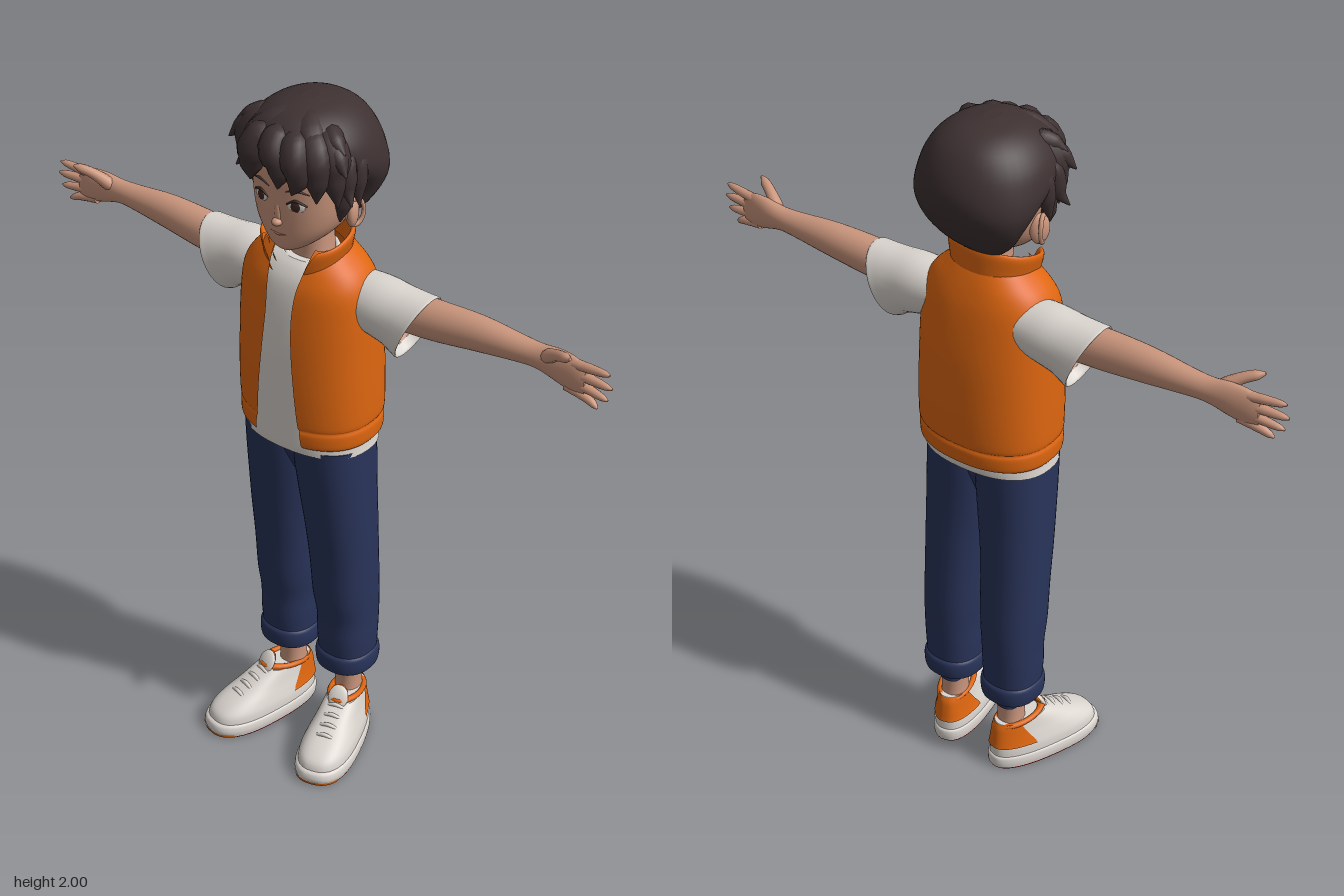
import * as THREE from 'three';

const V = (x, y, z) => new THREE.Vector3(x, y, z);
const mat = (name, color, side = THREE.FrontSide) => {
  const m = new THREE.MeshStandardMaterial({ color, side });
  m.name = name;
  return m;
};
const pow = (v, p) => Math.sign(v) * Math.abs(v) ** p;

// Smoothly fills in rows of numbers (Catmull-Rom)
function smooth(rows, steps) {
  const out = [], at = i => rows[Math.min(Math.max(i, 0), rows.length - 1)];
  for (let i = 0; i < rows.length - 1; i++) for (let s = 0; s < steps; s++) {
    const t = s / steps;
    out.push(at(i).map((b, k) => {
      const a = at(i - 1)[k], c = at(i + 1)[k], d = at(i + 2)[k];
      return 0.5 * (2 * b + (c - a) * t + (2 * a - 5 * b + 4 * c - d) * t * t + (3 * b - a - 3 * c + d) * t ** 3);
    }));
  }
  out.push(rows[rows.length - 1]);
  return out;
}

// Skins a list of point rings
function loft(rings, closed = true, caps = closed) {
  const pos = [], idx = [], n = rings[0].length, m = closed ? n : n - 1;
  rings.forEach(r => r.forEach(p => pos.push(p.x, p.y, p.z)));
  for (let i = 0; i < rings.length - 1; i++) for (let j = 0; j < m; j++) {
    const a = i * n + j, b = i * n + (j + 1) % n;
    idx.push(a, b, b + n, a, b + n, a + n);
  }
  if (caps) [rings[0], rings[rings.length - 1]].forEach((r, e) => {
    const base = pos.length / 3, c = V(0, 0, 0);
    r.forEach(p => { pos.push(p.x, p.y, p.z); c.addScaledVector(p, 1 / n); });
    pos.push(c.x, c.y, c.z);
    for (let j = 0; j < n; j++) {
      const k = (j + 1) % n;
      idx.push(base + n, base + (e ? j : k), base + (e ? k : j));
    }
  });
  const g = new THREE.BufferGeometry();
  g.setAttribute('position', new THREE.Float32BufferAttribute(pos, 3));
  g.setIndex(idx);
  g.computeVertexNormals();
  return g;
}

// Upright loft from rows [y, half width, front z, back z, half front gap, centre x]
function upright(rows, { n = 40, p = 0.85, tilt = 0, arc, toe = 0, caps = true } = {}) {
  const closed = !(arc || rows[0][4]);
  return loft(smooth(rows, 4).map(([y, rx, zf, zb, gap = 0, cx = 0]) => {
    const g = gap ? Math.asin((gap / rx) ** (1 / p)) : 0;
    const [a0, a1] = arc || [g, 2 * Math.PI - g];
    return Array.from({ length: closed ? n : n + 1 }, (_, j) => {
      const a = a0 + (a1 - a0) * j / n, c = pow(Math.cos(a), p);
      return V(cx + rx * (1 + toe * c) * pow(Math.sin(a), p), y - tilt * c, (zf + zb) / 2 + c * (zf - zb) / 2);
    });
  }), closed, caps && closed);
}

// Sideways loft from rows [x, y, z, half height, half depth, slant]
const sideways = (rows, caps) => loft(smooth(rows, 4).map(([x, y, z, ry, rz, slant = 0]) =>
  Array.from({ length: 28 }, (_, j) => {
    const a = j / 28 * 2 * Math.PI;
    return V(x + slant * Math.cos(a), y + ry * Math.cos(a), z + rz * Math.sin(a));
  })), true, caps);

// Round strand along a curve, with changing radius
function strand(points, radii, steps = 14, n = 10) {
  const curve = new THREE.CatmullRomCurve3(points.map(p => V(...p)));
  const f = curve.computeFrenetFrames(steps);
  return loft(Array.from({ length: steps + 1 }, (_, i) => {
    const u = i / steps * (radii.length - 1), k = Math.min(Math.floor(u), radii.length - 2);
    const r = THREE.MathUtils.lerp(radii[k], radii[k + 1], u - k), c = curve.getPointAt(i / steps);
    return Array.from({ length: n }, (_, j) => {
      const a = j / n * 2 * Math.PI;
      return c.clone().addScaledVector(f.normals[i], r * Math.cos(a)).addScaledVector(f.binormals[i], r * Math.sin(a));
    });
  }));
}
const blob = (sx, sy, sz, x, y, z, ry = 0) => new THREE.SphereGeometry(1, 20, 14).scale(sx, sy, sz).rotateY(ry).translate(x, y, z);

function mirrored(geo) {
  const g = geo.clone().scale(-1, 1, 1), ix = g.index.array;
  for (let i = 0; i < ix.length; i += 3) [ix[i], ix[i + 1]] = [ix[i + 1], ix[i]];
  return g;
}

export function createModel() {
  const model = new THREE.Group();
  const skin = mat('skin', 0xcb967d, THREE.DoubleSide), hairMat = mat('hair', 0x3e3132), orange = mat('orange', 0xde6610, THREE.DoubleSide);
  const white = mat('cloth white', 0xdcd6d0, THREE.DoubleSide), navy = mat('navy', 0x29345a, THREE.DoubleSide);
  const red = mat('sole red', 0xa80000), dark = mat('eye brown', 0x3a2620), lip = mat('lip', 0xa5655a);
  const add = (name, geo, m) => {
    const mesh = new THREE.Mesh(geo, m);
    mesh.name = name;
    model.add(mesh);
  };
  const pair = (name, geo, m) => { add(name + 'Left', geo, m); add(name + 'Right', mirrored(geo), m); };

  // Head, neck and face
  add('head', upright([[1.613, 0.025, 0.088, 0.03], [1.628, 0.055, 0.1, -0.02], [1.66, 0.093, 0.105, -0.07], [1.7, 0.12, 0.108, -0.11],
    [1.76, 0.135, 0.11, -0.14], [1.84, 0.135, 0.107, -0.15], [1.9, 0.1, 0.08, -0.13]]), skin);
  add('neck', upright([[1.5, 0.07, 0.03, -0.1], [1.57, 0.055, 0.015, -0.09], [1.7, 0.055, 0.03, -0.09]]), skin);
  add('noseBridge', blob(0.01, 0.03, 0.006, 0, 1.722, 0.107), skin);
  add('noseTip', blob(0.014, 0.011, 0.015, 0, 1.701, 0.11), skin);
  add('mouth', strand([[-0.028, 1.669, 0.103], [0, 1.664, 0.1055], [0.028, 1.669, 0.103]], [0.001, 0.003, 0.001]), lip);
  pair('eyeWhite', blob(0.024, 0.015, 0.004, 0.055, 1.757, 0.102, 0.28), white);
  pair('iris', blob(0.014, 0.014, 0.004, 0.054, 1.757, 0.104, 0.28), dark);
  pair('upperLid', strand([[0.029, 1.759, 0.108], [0.053, 1.773, 0.105], [0.082, 1.762, 0.093]], [0.002, 0.004, 0.002]), dark);
  pair('eyebrow', strand([[0.026, 1.792, 0.108], [0.055, 1.802, 0.104], [0.088, 1.793, 0.09]], [0.002, 0.004, 0.001]), hairMat);
  pair('ear', blob(0.016, 0.043, 0.028, 0.138, 1.722, -0.018, 0.45), skin);
  pair('earRim', new THREE.TorusGeometry(0.028, 0.006, 8, 20).scale(0.85, 1.3, 1).rotateY(1.15).translate(0.147, 1.724, -0.018), skin);

  // Hair cap, open over the forehead, and locks
  add('hairCap', upright([[1.645, 0.06, -0.06, -0.1], [1.69, 0.108, -0.04, -0.15], [1.74, 0.142, -0.03, -0.188], [1.785, 0.165, 0, -0.207],
    [1.82, 0.175, 0.05, -0.215], [1.86, 0.176, 0.115, -0.214], [1.91, 0.162, 0.135, -0.198], [1.955, 0.128, 0.108, -0.168],
    [1.985, 0.08, 0.06, -0.12], [1.998, 0.02, 0, -0.055]], { p: 0.95 }), hairMat);
  const locks = [
    [[-0.03, 1.95, 0.06], [-0.066, 1.9, 0.107], [-0.08, 1.85, 0.107], [-0.094, 1.785, 0.098]],
    [[0.0, 1.95, 0.06], [0, 1.91, 0.118], [0.02, 1.87, 0.121], [0.01, 1.8, 0.12]],
    [[0.03, 1.95, 0.06], [0.06, 1.9, 0.112], [0.07, 1.85, 0.113], [0.05, 1.793, 0.115]],
    [[0.04, 1.95, 0.04], [0.1, 1.9, 0.08], [0.107, 1.85, 0.085], [0.108, 1.778, 0.09]],
    [[0.05, 1.95, 0.02], [0.125, 1.9, 0.045], [0.132, 1.85, 0.05], [0.148, 1.765, 0.055]],
    [[-0.05, 1.95, 0.02], [-0.125, 1.9, 0.045], [-0.132, 1.85, 0.05], [-0.146, 1.765, 0.05]],
    [[0.03, 1.955, -0.02], [-0.03, 1.945, 0.05], [-0.075, 1.92, 0.085], [-0.115, 1.87, 0.118]],
    [[0.02, 1.955, -0.02], [0.05, 1.945, 0.04], [0.085, 1.92, 0.075], [0.125, 1.875, 0.11]]];
  locks.forEach((pts, i) => add('fringeLock' + (i + 1), strand(pts, [0.02, 0.042, 0.042, 0.03, 0.002], 16, 14), hairMat));
  const sideLocks = [
    [[0.12, 1.92, 0], [0.15, 1.86, 0.025], [0.16, 1.81, 0.03], [0.183, 1.775, 0.045]],
    [[0.12, 1.92, -0.03], [0.15, 1.86, -0.02], [0.157, 1.8, -0.015], [0.165, 1.75, -0.01]],
    [[0.125, 1.85, 0.01], [0.135, 1.79, 0.015], [0.132, 1.74, 0.018], [0.128, 1.705, 0.02]],
    [[0.08, 1.94, 0.03], [0.125, 1.92, 0.045], [0.15, 1.9, 0.055], [0.184, 1.865, 0.07]],
    [[0.08, 1.94, 0], [0.11, 1.94, 0.03], [0.135, 1.93, 0.045], [0.168, 1.915, 0.055]]];
  sideLocks.forEach((pts, i) => pair('sideLock' + (i + 1), strand(pts, [0.015, 0.028, 0.024, 0.002]), hairMat));

  // Shirt body and sleeves
  add('shirt', upright([[1.018, 0.19, 0.1, -0.166], [1.045, 0.187, 0.102, -0.168], [1.12, 0.182, 0.102, -0.165], [1.3, 0.18, 0.105, -0.165],
    [1.42, 0.178, 0.095, -0.15], [1.5, 0.165, 0.078, -0.135], [1.54, 0.13, 0.056, -0.12], [1.56, 0.075, 0.035, -0.105]]), white);
  add('neckband', new THREE.TorusGeometry(0.066, 0.008, 8, 32).rotateX(Math.PI / 2 + 0.15).translate(0, 1.562, -0.033), white);
  pair('sleeve', sideways([[0.13, 1.465, -0.055, 0.07, 0.075, 0], [0.2, 1.458, -0.055, 0.082, 0.078, 0.01], [0.26, 1.448, -0.055, 0.086, 0.076, 0.025],
    [0.3, 1.438, -0.055, 0.094, 0.078, 0.038], [0.32, 1.434, -0.055, 0.097, 0.08, 0.042], [0.317, 1.435, -0.055, 0.09, 0.073, 0.04],
    [0.29, 1.443, -0.055, 0.084, 0.07, 0.03]], false), white);
  pair('sleeveInside', sideways([[0.29, 1.443, -0.055, 0.083, 0.069, 0.03], [0.25, 1.456, -0.055, 0.068, 0.062, 0.015],
    [0.2, 1.465, -0.055, 0.055, 0.055, 0]], false), skin);

  // Open vest with hem and standing collar
  add('vest', upright([[1.048, 0.191, 0.112, -0.181, 0.075], [1.058, 0.196, 0.117, -0.186, 0.074], [1.09, 0.197, 0.119, -0.188, 0.071],
    [1.104, 0.193, 0.116, -0.184, 0.069], [1.12, 0.198, 0.12, -0.19, 0.066], [1.22, 0.198, 0.123, -0.19, 0.057], [1.34, 0.196, 0.119, -0.183, 0.046],
    [1.43, 0.194, 0.11, -0.17, 0.041], [1.5, 0.187, 0.098, -0.155, 0.045], [1.545, 0.165, 0.08, -0.14, 0.052], [1.58, 0.128, 0.062, -0.125, 0.057],
    [1.605, 0.1, 0.045, -0.112, 0.06]], { n: 56 }), orange);
  add('collar', upright([[1.553, 0.108, 0.078, -0.118, 0.046], [1.59, 0.117, 0.084, -0.117, 0.06], [1.624, 0.125, 0.086, -0.115, 0.078],
    [1.636, 0.121, 0.081, -0.109, 0.087], [1.626, 0.111, 0.07, -0.102, 0.08], [1.565, 0.094, 0.058, -0.098, 0.05]], { tilt: 0.027 }), orange);

  // Arms and hands
  pair('arm', sideways([[0.14, 1.465, -0.055, 0.055, 0.055], [0.35, 1.474, -0.055, 0.055, 0.05], [0.5, 1.484, -0.06, 0.048, 0.043],
    [0.62, 1.486, -0.062, 0.036, 0.033], [0.68, 1.486, -0.062, 0.034, 0.028], [0.74, 1.482, -0.06, 0.046, 0.024],
    [0.79, 1.474, -0.056, 0.05, 0.018], [0.82, 1.468, -0.054, 0.036, 0.011]], true), skin);
  const fingerRadii = [0.015, 0.014, 0.014, 0.013, 0.013, 0.012, 0.011, 0.009, 0.003];
  [[1.506, 1.517, 0.888], [1.484, 1.481, 0.897], [1.46, 1.445, 0.887], [1.438, 1.412, 0.86]].forEach(([y0, y1, x], i) =>
    pair('finger' + (i + 1), strand([[0.765, y0, -0.057], [0.83, (y0 + y1) / 2, -0.053], [x, y1, -0.048]], fingerRadii, 16), skin));
  pair('thumb', strand([[0.7, 1.495, -0.055], [0.75, 1.53, -0.03], [0.8, 1.55, -0.006]], [0.016, 0.019, 0.017, 0.015, 0.014, 0.013, 0.004]), skin);

  // Trousers: two legs meeting in a centre seam, with turned cuffs
  add('seat', upright([[0.85, 0.02, 0.0, -0.08], [0.93, 0.05, 0.045, -0.11], [1.03, 0.1, 0.082, -0.137]]), navy);
  pair('trouserLeg', upright([[0.262, 0.076, 0.005, -0.148, 0, 0.1], [0.35, 0.081, 0.013, -0.152, 0, 0.1], [0.42, 0.082, 0.014, -0.155, 0, 0.1],
    [0.5, 0.087, 0.028, -0.155, 0, 0.098], [0.62, 0.09, 0.038, -0.149, 0, 0.096], [0.74, 0.094, 0.053, -0.144, 0, 0.093],
    [0.85, 0.1, 0.066, -0.141, 0, 0.087], [0.95, 0.104, 0.078, -0.141, 0, 0.082], [1.03, 0.106, 0.085, -0.14, 0, 0.079]]), navy);
  pair('trouserCuff', upright([[0.3, 0.074, 0.004, -0.145, 0, 0.1], [0.258, 0.076, 0.006, -0.148, 0, 0.1], [0.246, 0.081, 0.013, -0.154, 0, 0.1],
    [0.27, 0.085, 0.017, -0.158, 0, 0.1], [0.294, 0.084, 0.016, -0.157, 0, 0.1], [0.303, 0.078, 0.009, -0.15, 0, 0.1]], { caps: false }), navy);
  pair('innerHem', upright([[0.205, 0.034, -0.058, -0.122, 0, 0.1], [0.27, 0.042, -0.05, -0.125, 0, 0.1]]), navy);
  pair('ankle', upright([[0.1, 0.042, -0.03, -0.125, 0, 0.1], [0.17, 0.036, -0.04, -0.115, 0, 0.1], [0.28, 0.043, -0.03, -0.118, 0, 0.1]]), skin);

  // Shoes, toes turned out
  const shoe = (name, geo, m) => pair(name, geo.rotateY(0.27).translate(0.125, 0, -0.005), m);
  const foot = { toe: 0.16, p: 0.8 }, heel = { ...foot, arc: [Math.PI * 0.58, Math.PI * 1.42] };
  shoe('outsole', upright([[0, 0.075, 0.212, -0.146], [0.006, 0.077, 0.216, -0.149]], foot), red);
  shoe('toeBumper', upright([[0.004, 0.0785, 0.219, -0.15], [0.013, 0.0795, 0.221, -0.151]], { ...foot, arc: [-0.75, 0.75] }), orange);
  shoe('midsole', upright([[0.005, 0.077, 0.216, -0.149], [0.02, 0.079, 0.22, -0.151], [0.036, 0.077, 0.216, -0.15], [0.042, 0.071, 0.207, -0.144]], foot), white);
  shoe('shoeUpper', upright([[0.036, 0.073, 0.208, -0.145], [0.062, 0.071, 0.198, -0.145], [0.085, 0.064, 0.165, -0.143], [0.11, 0.055, 0.11, -0.14],
    [0.135, 0.048, 0.06, -0.136], [0.15, 0.044, 0.028, -0.13]], foot), white);
  shoe('heelPatch', upright([[0.072, 0.072, 0.188, -0.149], [0.085, 0.067, 0.168, -0.147], [0.11, 0.058, 0.113, -0.144], [0.135, 0.051, 0.063, -0.14],
    [0.151, 0.046, 0.03, -0.133]], heel), orange);
  shoe('shoeCollar', new THREE.TorusGeometry(0.043, 0.008, 8, 28).scale(1, 1.7, 1).rotateX(Math.PI / 2 - 0.12).translate(0, 0.15, -0.052), orange);
  shoe('tongue', blob(0.03, 0.034, 0.01, 0, 0, 0).rotateX(-0.55).translate(0, 0.165, 0.016), white);
  shoe('tongueLining', blob(0.026, 0.026, 0.006, 0, 0, 0).rotateX(-0.55).translate(0, 0.172, 0.007), orange);
  for (let i = 0; i < 4; i++) {
    const y = 0.15 - i * 0.014, z = 0.034 + i * 0.029;
    shoe('lace' + (i + 1), strand([[-0.034, y - 0.015, z - 0.004], [0, y, z], [0.034, y - 0.015, z - 0.004]], [0.005, 0.006, 0.005]), white);
  }
  return model;
}
